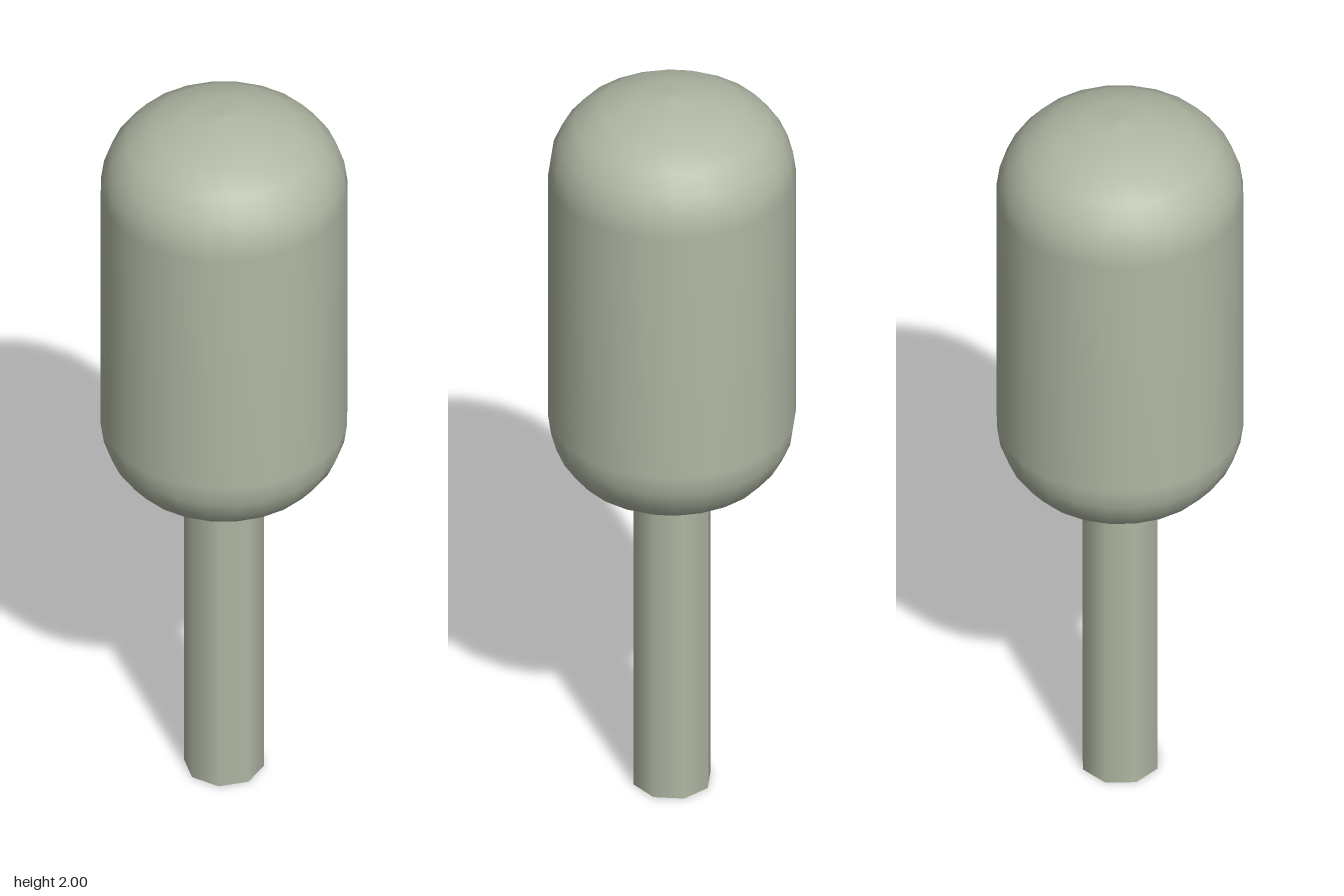
import * as THREE from 'three';

export function createModel() {
  const group = new THREE.Group();
  const material = new THREE.MeshStandardMaterial({ color: 0xb0b8a4 });

  // Rounded head: one shoulder profile mirrored about its mid height
  const middle = 1.425;
  const shoulder = [[0.308, 0.35], [0.3, 0.406], [0.279, 0.455], [0.243, 0.5], [0.18, 0.541], [0.09, 0.567], [0, 0.575]];
  const upper = shoulder.map(([r, h]) => new THREE.Vector2(r, middle + h));
  const lower = shoulder.map(([r, h]) => new THREE.Vector2(r, middle - h)).reverse();
  const head = new THREE.Mesh(new THREE.LatheGeometry([...lower, ...upper], 24), material);
  head.name = 'head';
  group.add(head);

  // Eight-sided handle, running slightly into the head
  const handle = new THREE.Mesh(new THREE.CylinderGeometry(0.1, 0.1, 0.88, 8), material);
  handle.position.y = 0.44;
  handle.name = 'handle';
  group.add(handle);

  return group;
}
